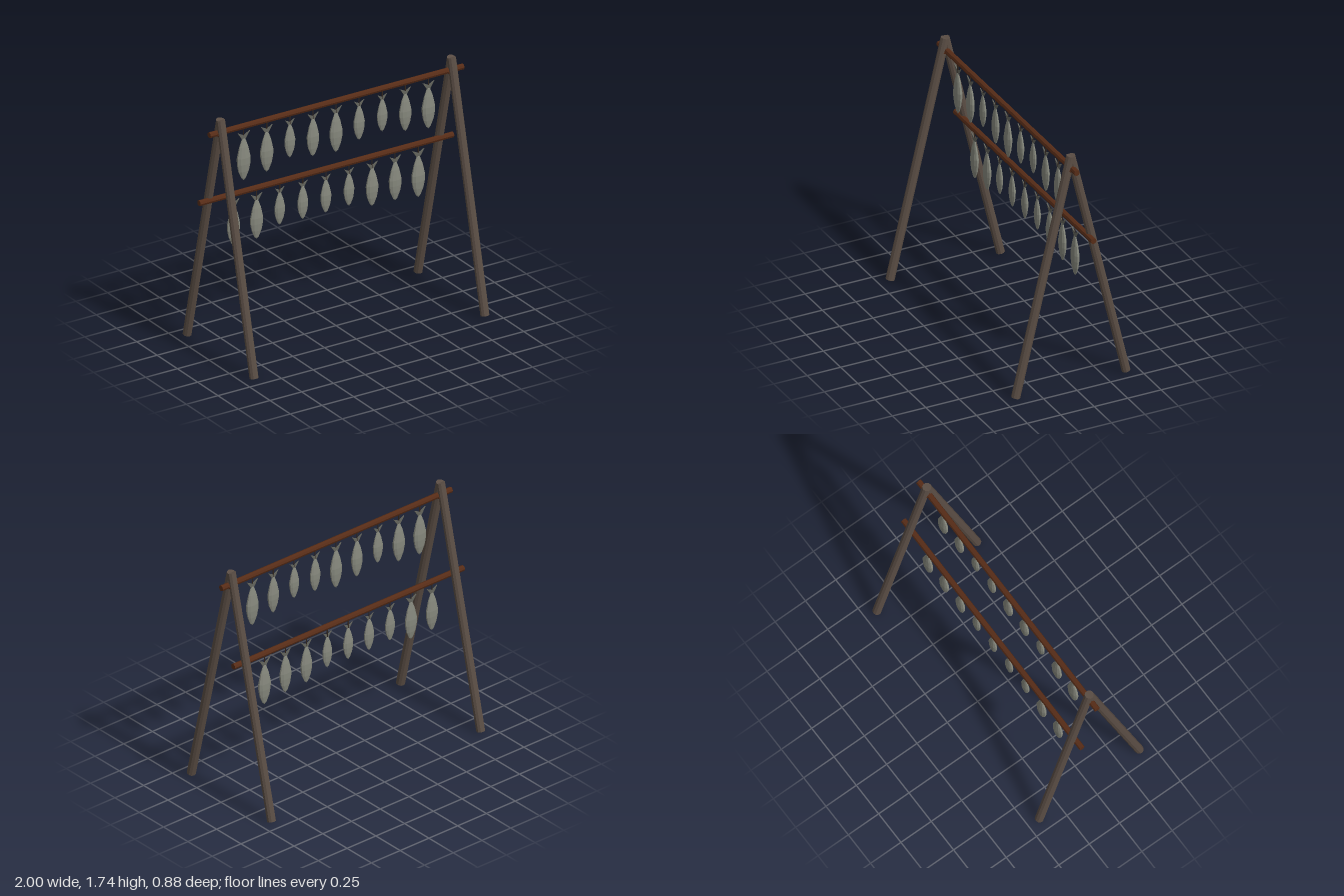
import * as THREE from 'three';

const material = (name, color, extra = {}) => {
  const m = new THREE.MeshStandardMaterial({ color, flatShading: true, ...extra });
  m.name = name;
  return m;
};

export function createModel() {
  const group = new THREE.Group();
  group.name = 'fishDryingRack';
  const legWood = material('greyBrownWood', 0x5a4d44);
  const poleWood = material('redBrownWood', 0x572c17);
  const fishSkin = material('driedFishGrey', 0x85877c);
  const tailSkin = material('tailGrey', 0x63645c, { side: THREE.DoubleSide });
  const cord = material('darkCord', 0x33271f);

  const add = (parent, name, geometry, mat) => {
    const mesh = new THREE.Mesh(geometry, mat);
    mesh.name = name;
    parent.add(mesh);
    return mesh;
  };

  // Round timber between two points
  const beam = (name, a, b, radius, sides, mat) => {
    const dir = b.clone().sub(a);
    const mesh = add(group, name, new THREE.CylinderGeometry(radius, radius, dir.length(), sides), mat);
    mesh.position.copy(a).add(b).multiplyScalar(0.5);
    mesh.quaternion.setFromUnitVectors(new THREE.Vector3(0, 1, 0), dir.normalize());
    return mesh;
  };
  const v = (x, y, z) => new THREE.Vector3(x, y, z);

  // Two A-frames with a lashing at each crossing
  for (const [side, x] of [['left', 0.91], ['right', -0.91]]) {
    beam(side + 'FrontLeg', v(x, 0.007, 0.412), v(x, 1.737, 0), 0.031, 10, legWood);
    beam(side + 'BackLeg', v(x, 0.007, -0.412), v(x, 1.737, 0), 0.031, 10, legWood);
    const lashing = add(group, side + 'Lashing', new THREE.TorusGeometry(0.031, 0.01, 6, 10), poleWood);
    lashing.rotation.x = Math.PI / 2;
    lashing.position.set(x, 1.638, 0);
  }

  // Fish of unit length, hanging from the tail tip at y = 0
  const profile = [[0, -1], [0.05, -0.955], [0.115, -0.81], [0.146, -0.66], [0.15, -0.53],
    [0.1, -0.31], [0.035, -0.14], [0, -0.12]].map(([r, y]) => new THREE.Vector2(r, y));
  const bodyGeometry = new THREE.LatheGeometry(profile, 10);
  bodyGeometry.scale(1, 1, 0.43);
  const tailShape = new THREE.Shape([[-0.03, -0.16], [0.03, -0.16], [0.135, 0], [0, -0.07], [-0.135, 0]]
    .map(([x, y]) => new THREE.Vector2(x, y)));
  const tailGeometry = new THREE.ExtrudeGeometry(tailShape, { depth: 0.02, bevelEnabled: false });
  tailGeometry.translate(0, 0, -0.01);

  // Hanging poles, each with a row of fish listed by length from right to left
  const rows = [
    { name: 'upper', y: 1.648, z: 0, lengths: [0.354, 0.338, 0.279, 0.316, 0.332, 0.289, 0.273, 0.316, 0.343] },
    { name: 'lower', y: 1.1, z: -0.125, lengths: [0.332, 0.332, 0.273, 0.278, 0.278, 0.273, 0.321, 0.326, 0.348] },
  ];
  for (const { name, y, z, lengths } of rows) {
    beam(name + 'Pole', v(-1, y, z), v(1, y, z), 0.021, 8, poleWood);
    lengths.forEach((length, i) => {
      const x = (i - 4) * 0.182;
      const fish = new THREE.Group();
      fish.name = name + 'Fish' + (i + 1);
      fish.position.set(x, y - 0.043, z);
      fish.scale.setScalar(length);
      add(fish, 'body', bodyGeometry, fishSkin);
      add(fish, 'tail', tailGeometry, tailSkin);
      group.add(fish);
      beam(name + 'String' + (i + 1), v(x, y - 0.1, z), v(x, y, z), 0.004, 5, cord);
    });
  }
  return group;
}
